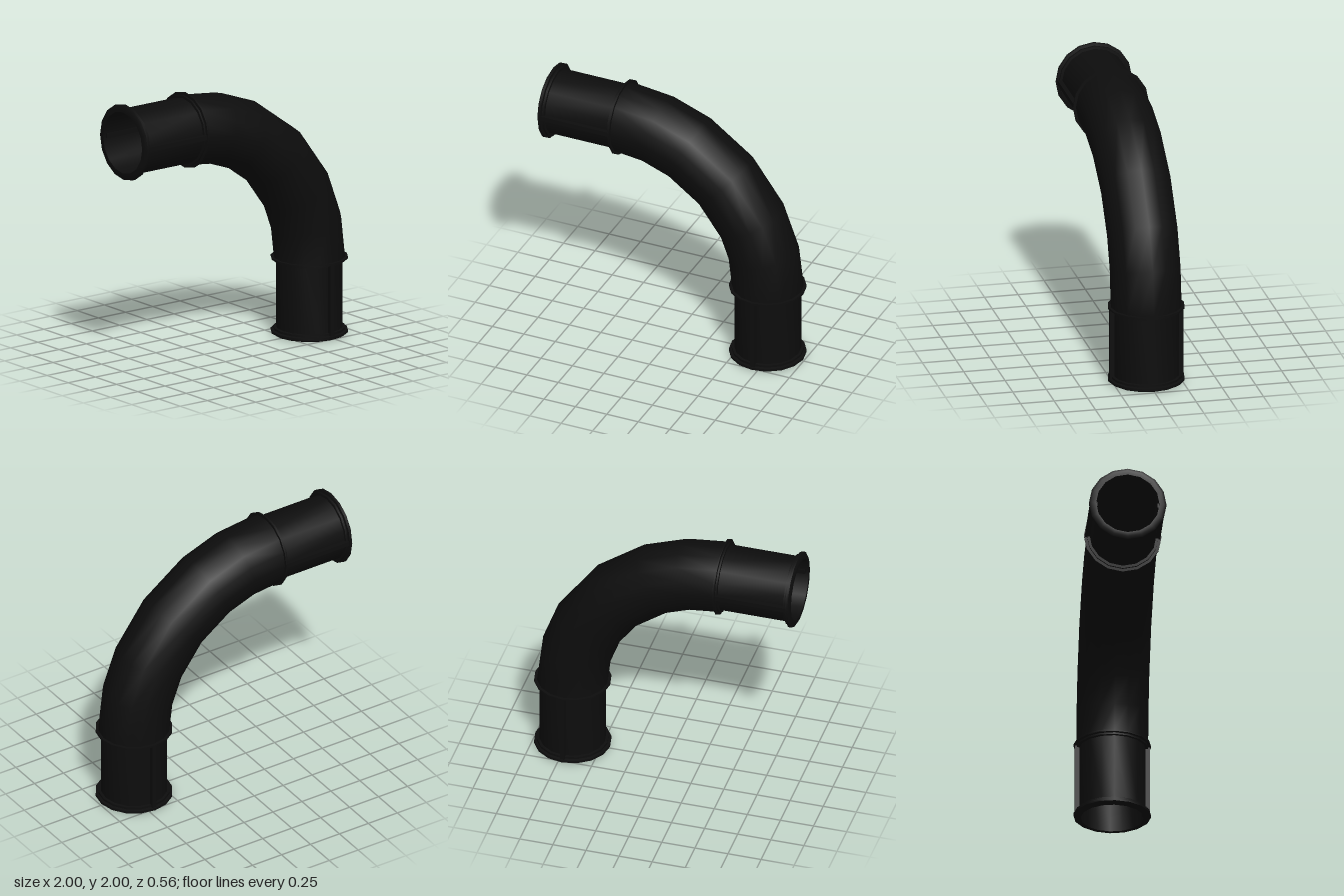
import * as THREE from 'three';
import { toCreasedNormals } from 'three/addons/utils/BufferGeometryUtils.js';

const SIDES = 16;
const AXIS_Y = 1.72, AXIS_X = 0.715, SLEEVE = 0.58, BEND_R = 1.14;

// Quarter-circle centre line with shorter steps near both ends
class ElbowCurve extends THREE.Curve {
  angle(t) {
    const stops = [0, 13.5, 27, 45, 63, 76.5, 90];
    const i = Math.min(5, Math.floor(t * 6 + 1e-6));
    return THREE.MathUtils.degToRad(THREE.MathUtils.lerp(stops[i], stops[i + 1], t * 6 - i));
  }
  getPoint(t, target = new THREE.Vector3()) {
    const a = this.angle(t);
    return target.set(AXIS_X - BEND_R + BEND_R * Math.sin(a), SLEEVE + BEND_R * Math.cos(a), 0);
  }
  getPointAt(t, target) { return this.getPoint(t, target); }
  getTangentAt(t, target = new THREE.Vector3()) {
    const a = this.angle(t);
    return target.set(Math.cos(a), -Math.sin(a), 0);
  }
}

// Hollow coupling sleeve standing on its open end, with stepped rims and seam ribs
function makeSleeve(name, material) {
  const sleeve = new THREE.Group();
  sleeve.name = name;

  const profile = [
    [0.23, 0.58], [0.23, 0], [0.262, 0], [0.282, 0.012], [0.282, 0.03],
    [0.262, 0.034], [0.262, 0.05], [0.243, 0.052],
    [0.243, 0.55], [0.262, 0.552], [0.262, 0.565], [0.282, 0.567],
    [0.282, 0.58], [0.23, 0.58],
  ].map(([r, y]) => new THREE.Vector2(r, y));
  const shell = new THREE.Mesh(
    toCreasedNormals(new THREE.LatheGeometry(profile, SIDES), 0.6), material);
  shell.name = 'sleeveShell';
  sleeve.add(shell);

  for (const side of [1, -1]) {
    const rib = new THREE.Mesh(new THREE.BoxGeometry(0.034, 0.54, 0.055), material);
    rib.name = 'seamRib';
    rib.position.set(0, 0.295, side * 0.2455);
    sleeve.add(rib);
  }
  return sleeve;
}

export function createModel() {
  const model = new THREE.Group();
  model.name = 'pipeElbow';
  const black = new THREE.MeshStandardMaterial({ color: 0x0d0d0d, side: THREE.DoubleSide });
  black.name = 'black';

  // Curved pipe
  const bend = new THREE.Mesh(
    new THREE.TubeGeometry(new ElbowCurve(), 6, 0.261, SIDES, false), black);
  bend.name = 'bend';
  model.add(bend);

  // Lower and upper couplings
  const lower = makeSleeve('lowerSleeve', black);
  lower.position.set(AXIS_X, 0, 0);
  const upper = makeSleeve('upperSleeve', black);
  upper.rotation.z = -Math.PI / 2;
  upper.position.set(-1, AXIS_Y, 0);
  model.add(lower, upper);

  return model;
}
